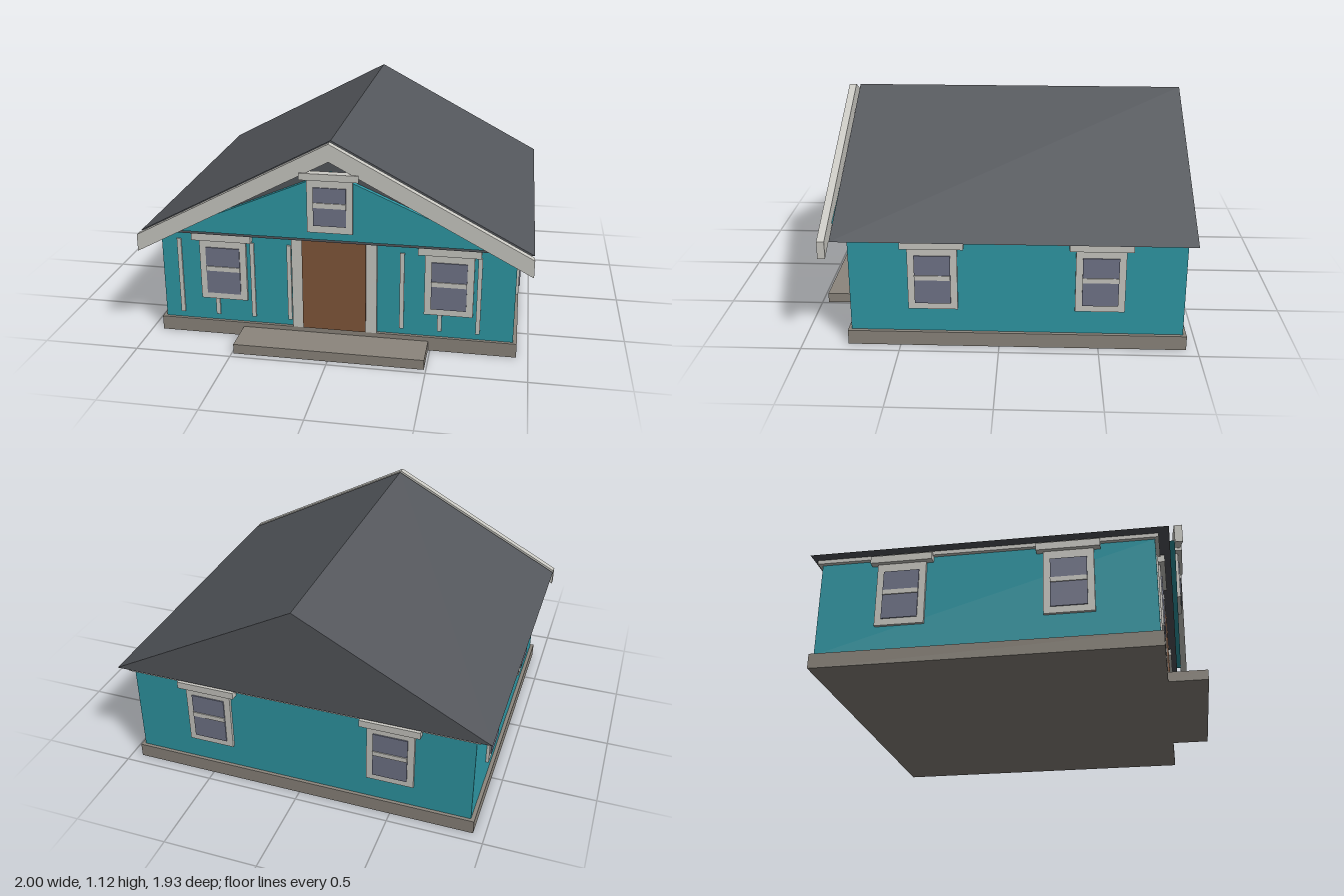
import * as THREE from 'three';

const material = (name, color) => {
  const m = new THREE.MeshStandardMaterial({ color });
  m.name = name;
  return m;
};

export function createModel() {
  const house = new THREE.Group();
  house.name = 'house';

  const siding = material('teal siding', 0x2f99a6);
  const trim = material('off-white trim', 0xcbcac4);
  const roofing = material('slate roofing', 0x54575c);
  const stone = material('stone base', 0x8c867d);
  const wood = material('brown door', 0x82583b);
  const glass = material('window glass', 0x72768a);

  // Box given by its lower and upper limits on each axis
  const box = (parent, name, mat, [x0, x1], [y0, y1], [z0, z1]) => {
    const mesh = new THREE.Mesh(new THREE.BoxGeometry(x1 - x0, y1 - y0, z1 - z0), mat);
    mesh.position.set((x0 + x1) / 2, (y0 + y1) / 2, (z0 + z1) / 2);
    mesh.name = name;
    parent.add(mesh);
  };

  // Outline in the xy plane, pushed from z0 to z1
  const prism = (name, mat, points, z0, z1) => {
    const shape = new THREE.Shape(points.map(([x, y]) => new THREE.Vector2(x, y)));
    const geometry = new THREE.ExtrudeGeometry(shape, { depth: z1 - z0, bevelEnabled: false });
    const mesh = new THREE.Mesh(geometry, mat);
    mesh.position.z = z0;
    mesh.name = name;
    house.add(mesh);
  };

  // Base, step and walls
  box(house, 'foundation', stone, [-0.94, 0.94], [0, 0.076], [-0.943, 0.767]);
  box(house, 'frontStep', stone, [-0.49, 0.49], [0, 0.052], [0.767, 0.966]);
  box(house, 'walls', siding, [-0.92, 0.92], [0.076, 0.57], [-0.925, 0.75]);
  box(house, 'eavesBand', trim, [-0.942, 0.942], [0.57, 0.59], [-0.945, 0.769]);

  // Roof, gable wall and bargeboards
  prism('roof', roofing, [[-1, 0.59], [1, 0.59], [0, 1.12]], -0.963, 0.82);
  prism('gableWall', siding, [[-0.82, 0.612], [0.82, 0.612], [0, 0.965]], 0.82, 0.845);
  prism('bargeboards', trim,
    [[-1, 0.5], [0, 1.03], [1, 0.5], [1, 0.59], [0, 1.12], [-1, 0.59]], 0.843, 0.881);

  // Door and its side casings
  box(house, 'door', wood, [-0.165, 0.165], [0.08, 0.574], [0.745, 0.776]);
  for (const s of [-1, 1]) {
    const x = s * 0.193;
    box(house, 'doorCasing', trim, [x - 0.028, x + 0.028], [0.076, 0.572], [0.745, 0.768]);
  }

  // Evenly spaced battens on the front wall
  for (let i = 0; i < 9; i++) {
    const x = -0.825 + i * 0.1956;
    box(house, 'batten', trim, [x - 0.011, x + 0.011], [0.11, 0.53], [0.745, 0.758]);
  }

  // Window with head moulding; local z points out of the wall
  const addWindow = (name, x, z, turn, d) => {
    const g = new THREE.Group();
    g.name = name;
    box(g, 'frame', trim, [-d.frame, d.frame], [d.bottom, d.head], [-0.005, 0.016]);
    box(g, 'pane', glass, [-d.pane, d.pane], d.paneY, [0.016, 0.022]);
    box(g, 'glazingBar', trim, [-d.pane, d.pane], d.barY, [0.016, 0.027]);
    box(g, 'headMoulding', trim, [-d.wide, d.wide], [d.head, d.top], [-0.005, 0.04]);
    g.position.set(x, 0, z);
    g.rotation.y = turn;
    house.add(g);
  };
  const mainSize = {
    frame: 0.124, wide: 0.157, bottom: 0.205, head: 0.54, top: 0.578,
    pane: 0.09, paneY: [0.239, 0.496], barY: [0.367, 0.392],
  };
  const gableSize = {
    frame: 0.114, wide: 0.147, bottom: 0.657, head: 0.935, top: 0.97,
    pane: 0.082, paneY: [0.695, 0.893], barY: [0.79, 0.816],
  };
  for (const s of [-1, 1]) {
    addWindow('frontWindow', s * 0.588, 0.75, 0, mainSize);
    addWindow('backWindow', s * 0.495, -0.925, Math.PI, mainSize);
    for (const z of [0.33, -0.503]) addWindow('sideWindow', s * 0.92, z, s * Math.PI / 2, mainSize);
  }
  addWindow('gableWindow', 0, 0.849, 0, gableSize);

  return house;
}
